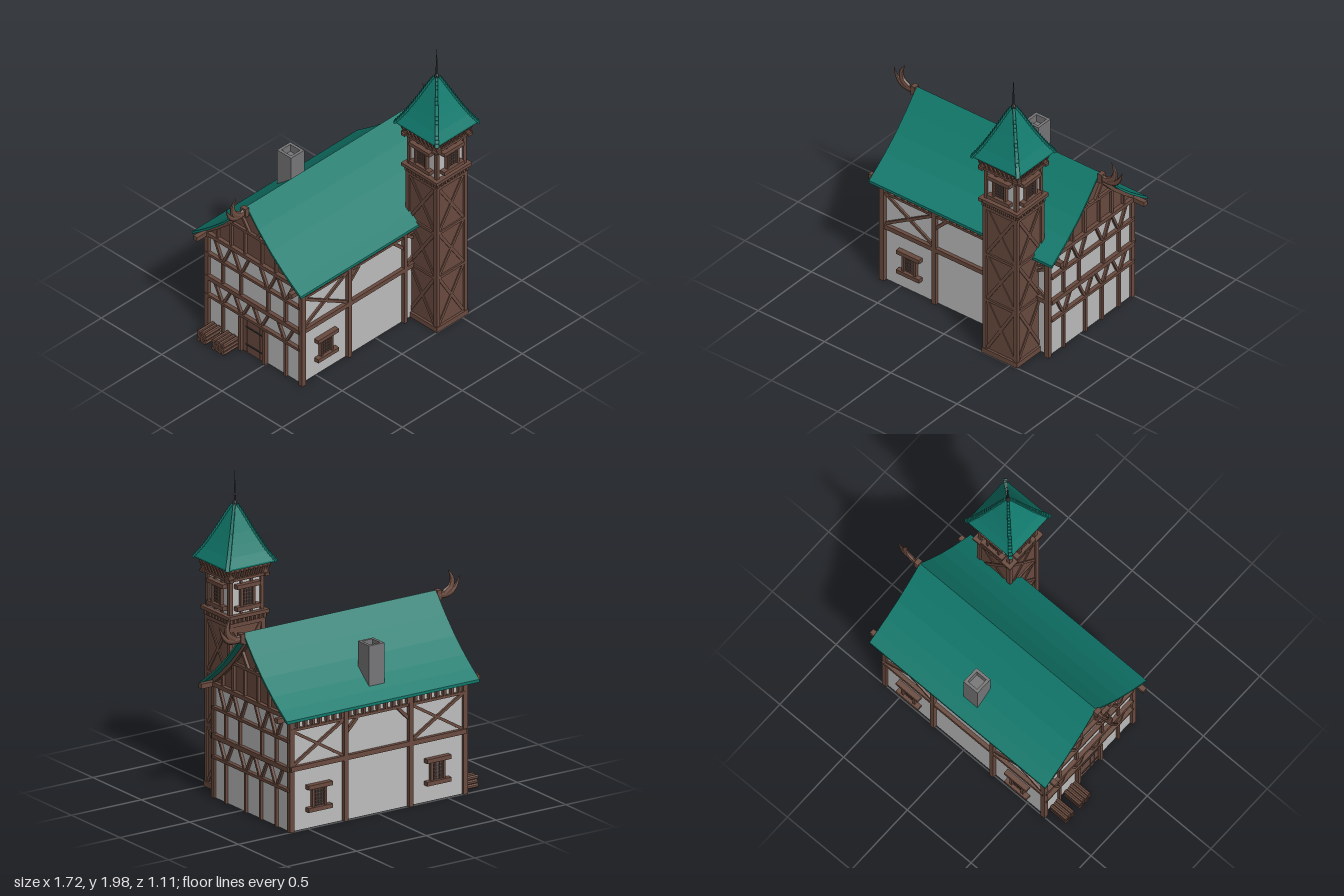
import * as THREE from 'three';

const mat = (name, color, double) => {
  const m = new THREE.MeshStandardMaterial({ color, flatShading: true });
  m.name = name;
  if (double) m.side = THREE.DoubleSide;
  return m;
};

export function createModel() {
  const plaster = mat('plaster', 0xbebebe, true);
  const wood = mat('wood', 0x6a4b3f, true);
  const teal = mat('teal roof', 0x117a6d, true);
  const stone = mat('chimney stone', 0x777779, true);
  const iron = mat('dark iron', 0x38383a);

  const model = new THREE.Group();
  const CZ = -0.105; // ridge line of the house

  const group = (parent, name, x = 0, y = 0, z = 0, ry = 0) => {
    const g = new THREE.Group();
    g.name = name;
    g.position.set(x, y, z);
    g.rotation.y = ry;
    parent.add(g);
    return g;
  };
  const add = (parent, name, geo, m, x = 0, y = 0, z = 0) => {
    const mesh = new THREE.Mesh(geo, m);
    mesh.name = name;
    mesh.position.set(x, y, z);
    parent.add(mesh);
    return mesh;
  };
  const box = (p, name, w, h, d, m, x, y, z) => add(p, name, new THREE.BoxGeometry(w, h, d), m, x, y, z);
  // timber lying on a wall face, from (x1,y1) to (x2,y2)
  const strip = (p, name, x1, y1, x2, y2, w = 0.02, d = 0.02, z = 0.008) => {
    const s = box(p, name, Math.hypot(x2 - x1, y2 - y1), w, d, wood, (x1 + x2) / 2, (y1 + y2) / 2, z);
    s.rotation.z = Math.atan2(y2 - y1, x2 - x1);
    return s;
  };
  const cross = (p, x1, y1, x2, y2, w, d, z) => {
    strip(p, 'crossBrace', x1, y1, x2, y2, w, d, z);
    strip(p, 'crossBrace', x1, y2, x2, y1, w, d * 0.9, z);
  };
  // four upright walls open above and below
  const walls = (p, name, hx, hz, y0, y1, m, x, z) => {
    const g = new THREE.CylinderGeometry(Math.SQRT2, Math.SQRT2, y1 - y0, 4, 1, true, Math.PI / 4);
    g.scale(hx, 1, hz);
    return add(p, name, g, m, x, (y0 + y1) / 2, z);
  };
  // latticed window with wide head and sill boards
  const windowAt = (p, x, y, s = 1) => {
    const w = group(p, 'window', x, y, 0.002);
    w.scale.setScalar(s);
    box(w, 'pane', 0.085, 0.13, 0.008, iron, 0, 0, 0.004);
    for (const k of [-1, 1]) {
      box(w, 'sideFrame', 0.016, 0.13, 0.024, wood, k * 0.044, 0, 0.01);
      box(w, 'board', 0.172, 0.026, 0.036, wood, 0, k * 0.07, 0.014);
    }
    for (const k of [-1, 0, 1]) box(w, 'bar', 0.004, 0.13, 0.004, wood, k * 0.019, 0, 0.01);
    for (let i = -2; i <= 2; i++) box(w, 'bar', 0.08, 0.004, 0.004, wood, 0, i * 0.022, 0.01);
  };

  // ---- house walls
  const house = group(model, 'house');
  walls(house, 'houseWalls', 0.62, 0.385, 0, 0.72, plaster, 0, CZ);
  for (const x of [-0.625, 0.618]) for (const z of [0.293, -0.49])
    box(house, 'cornerPost', 0.032, 0.7, 0.032, wood, x, 0.35, z);

  // long walls: front and back
  for (const [name, z, ry] of [['frontWall', 0.28, 0], ['backWall', -0.49, Math.PI]]) {
    const f = group(house, name, 0, 0, z, ry);
    for (const x of [-0.235, 0.23]) strip(f, 'post', x, 0, x, 0.7, 0.028, 0.04, 0.005);
    strip(f, 'middleRail', -0.63, 0.393, 0.63, 0.393, 0.03, 0.036, 0.006);
    strip(f, 'upperRail', -0.63, 0.633, 0.63, 0.633, 0.016);
    strip(f, 'topRail', -0.63, 0.705, 0.63, 0.705, 0.02, 0.034);
    cross(f, -0.61, 0.41, -0.25, 0.625, 0.018, 0.016, 0.006);
    cross(f, 0.245, 0.41, 0.605, 0.625, 0.018, 0.016, 0.006);
    strip(f, 'cornerBrace', -0.225, 0.55, -0.15, 0.625);
    strip(f, 'cornerBrace', 0.22, 0.55, 0.145, 0.625);
    for (let i = 0; i < 23; i++) { // bracket row under the eave
      const x = -0.577 + i * 0.0525;
      box(f, 'bracket', 0.018, 0.05, 0.028, wood, x, 0.672, 0.012);
      box(f, 'bracketFoot', 0.01, 0.02, 0.02, wood, x, 0.65, 0.01);
    }
    windowAt(f, -0.425, 0.19);
    if (ry) windowAt(f, 0.425, 0.19);
  }

  // ---- roof: gently hollow slopes; profile is distance from the ridge, height
  const slope = [[0, 1.145], [0.1, 1.025], [0.2, 0.917], [0.3, 0.828], [0.38, 0.766], [0.45, 0.715]];
  const outline = drop => [...slope.slice(1).reverse().map(([d, y]) => [-d, y - drop]),
    ...slope.map(([d, y]) => [d, y - drop])].map(p => new THREE.Vector2(...p));
  const roofShape = new THREE.Shape([...outline(0), ...outline(0.018).reverse()]);
  const roofGeo = new THREE.ExtrudeGeometry(roofShape, { depth: 1.38, bevelEnabled: false });
  roofGeo.translate(0, 0, -0.69).rotateY(Math.PI / 2);
  add(model, 'mainRoof', roofGeo, teal, 0, 0, CZ);
  for (const z of [0.29, -0.495]) box(house, 'purlin', 1.45, 0.03, 0.032, wood, 0, 0.712, z);
  box(house, 'ridgeBeam', 1.4, 0.03, 0.03, wood, 0, 1.09, CZ);

  // ---- gable walls
  const gableShape = new THREE.Shape([new THREE.Vector2(-0.4, 0.71),
    ...outline(0.016).filter(p => Math.abs(p.x) < 0.4), new THREE.Vector2(0.4, 0.71)]);
  for (const side of [1, -1]) {
    const g = group(house, side > 0 ? 'rightGable' : 'leftGable', side * 0.62, 0, CZ, side * Math.PI / 2);
    add(g, 'gableBoards', new THREE.ShapeGeometry(gableShape), wood);
    for (const [y, w] of [[0.39, 0.03], [0.567, 0.018], [0.26, 0.018], [0.712, 0.026]])
      strip(g, 'rail', -0.39, y, 0.39, y, w, 0.034);
    // studs with forked braces above them; positions are mirrored on the far gable
    for (const [y0, y1, y2, list] of [[0.4, 0.567, 0.705, [-0.265, -0.12, 0.105, 0.255]],
      [0, 0.26, 0.385, [-0.265, -0.06, 0.095, 0.255]]])
      for (const s of list) {
        const u = s * side;
        if (side > 0 || y0 > 0 || Math.abs(u) > 0.1) strip(g, 'stud', u, y0, u, y1, 0.018);
        for (const k of [-1, 1]) strip(g, 'fork', u + k * 0.008, y1, u + k * 0.07, y2, 0.016, 0.018);
      }
    strip(g, 'collar', -0.2, 0.895, 0.2, 0.895, 0.018);
    for (const k of [-1, 1]) {
      for (const [u, h] of [[0.07, 0.89], [0.185, 0.89], [0.295, 0.8]]) strip(g, 'gableStud', k * u, 0.72, k * u, h, 0.016);
      strip(g, 'gableFork', k * 0.035, 0.9, k * 0.1, 1.0, 0.016);
      slope.slice(1, 5).forEach(([d, y], i) =>
        strip(g, 'rafter', k * slope[i][0], slope[i][1] - 0.032, k * d, y - 0.032, 0.024, 0.03));
    }
    if (side < 0) { // plank door
      const d = group(g, 'door', 0, 0, 0.004);
      for (let i = -2; i <= 2; i++) box(d, 'plank', 0.033, 0.24, 0.014, wood, i * 0.035, 0.12, 0);
      for (const k of [-1, 1]) strip(d, 'doorPost', k * 0.098, 0, k * 0.098, 0.25, 0.02, 0.036);
      for (const y of [0.06, 0.19]) box(d, 'hinge', 0.14, 0.008, 0.006, iron, 0.01, y, 0.009);
    }
  }

  // ---- curved horns at the ridge ends, tapered tubes
  const horn = (p, name, pts, r, end) => {
    const curve = new THREE.CatmullRomCurve3(pts.map(([x, y]) => new THREE.Vector3(x, y, 0)));
    const n = 14, sides = 8;
    const geo = new THREE.TubeGeometry(curve, n, r, sides);
    const pos = geo.attributes.position, v = new THREE.Vector3();
    for (let i = 0; i < pos.count; i++) {
      const t = Math.floor(i / (sides + 1)) / n, c = curve.getPointAt(t);
      v.fromBufferAttribute(pos, i).sub(c).multiplyScalar(1 + (end - 1) * t * t);
      pos.setXYZ(i, c.x + v.x, c.y + v.y, v.z * 0.6);
    }
    geo.computeVertexNormals();
    add(p, name, geo, wood);
  };
  for (const side of [0, 1]) {
    const h = group(model, side ? 'leftRidgeHorns' : 'rightRidgeHorns', 0, 0, CZ, side * Math.PI);
    horn(h, 'lowerHorn', [[0.68, 1.12], [0.74, 1.108], [0.8, 1.115], [0.84, 1.155], [0.86, 1.21]], 0.026, 0.04);
    horn(h, 'upperHorn', [[0.755, 1.115], [0.795, 1.145], [0.806, 1.195], [0.78, 1.255]], 0.025, 0.04);
    box(h, 'collar', 0.03, 0.06, 0.04, wood, 0.705, 1.115, 0);
  }

  // ---- chimney, hollow at the top
  const flue = new THREE.Shape([[-0.055, -0.058], [0.055, -0.058], [0.055, 0.058], [-0.055, 0.058]].map(p => new THREE.Vector2(...p)));
  flue.holes.push(new THREE.Path([[-0.037, -0.04], [-0.037, 0.04], [0.037, 0.04], [0.037, -0.04]].map(p => new THREE.Vector2(...p))));
  const flueGeo = new THREE.ExtrudeGeometry(flue, { depth: 0.295, bevelEnabled: false }).rotateX(-Math.PI / 2);
  add(model, 'chimney', flueGeo, stone, -0.02, 0.74, -0.403);
  box(model, 'chimneyFloor', 0.08, 0.01, 0.085, stone, -0.02, 0.98, -0.403);

  // ---- log piles by the left wall
  for (const [z0, count] of [[-0.437, 3], [-0.314, 4]]) for (let row = 0; row < 3; row++)
    for (let i = 0; i < count; i++) {
      const log = new THREE.CylinderGeometry(0.0135, 0.0135, 0.125 - ((i + row) % 2) * 0.008, 7).rotateZ(Math.PI / 2);
      add(model, 'log', log, wood, -0.695, 0.0135 + row * 0.0265, z0 + i * 0.0255);
    }

  // ---- tower
  const tower = group(model, 'tower', 0.42, 0, 0.37);
  walls(tower, 'shaft', 0.118, 0.118, 0, 1.08, wood, 0, 0);
  walls(tower, 'lookoutWalls', 0.113, 0.113, 1.1, 1.36, plaster, 0, 0);
  box(tower, 'lookoutFloor', 0.26, 0.025, 0.26, wood, 0, 1.108, 0);
  for (const x of [-1, 1]) for (const z of [-1, 1]) {
    box(tower, 'towerPost', 0.026, 1.08, 0.026, wood, x * 0.116, 0.54, z * 0.116);
    box(tower, 'lookoutPost', 0.024, 0.25, 0.024, wood, x * 0.112, 1.23, z * 0.112);
  }
  for (let s = 0; s < 4; s++) {
    const f = group(tower, 'towerSide', 0, 0, 0, s * Math.PI / 2);
    const rail = (name, w, h, d, y, z) => box(f, name, w, h, d, wood, 0, y, z);
    rail('baseRail', 0.266, 0.035, 0.026, 0.0175, 0.12);
    for (const y of [0.39, 0.72]) rail('shaftRail', 0.252, 0.018, 0.02, y, 0.118);
    rail('shaftTopRail', 0.256, 0.025, 0.024, 1.06, 0.12);
    for (const [a, b] of [[0.04, 0.38], [0.4, 0.71], [0.73, 1.045]]) cross(f, -0.102, a, 0.102, b, 0.02, 0.01, 0.119);
    rail('ledge', 0.296, 0.022, 0.03, 1.112, 0.132);
    rail('headRail', 0.31, 0.016, 0.03, 1.343, 0.127);
    rail('eaveRail', 0.3, 0.022, 0.03, 1.405, 0.135);
    for (let i = 0; i < 9; i++) { // brackets below ledge and eave
      const x = (i - 4) * 0.03;
      box(f, 'ledgeBracket', 0.016, 0.03, 0.024, wood, x, 1.088, 0.128);
      const c = box(f, 'eaveBracket', 0.016, 0.062, 0.03, wood, x * 1.12, 1.378, 0.132);
      c.rotation.x = 0.4;
    }
    for (const k of [-1, 1]) strip(f, 'lookoutStud', k * 0.036, 1.12, k * 0.036, 1.34, 0.016, 0.014, 0.115);
    const w = group(f, 'windowMount', 0, 0, 0.115);
    windowAt(w, 0, 1.228, 0.98);
  }
  walls(tower, 'eaveBand', 0.118, 0.118, 1.34, 1.41, wood, 0, 0);

  // hollow pyramid roof; profile is half width, height
  const spireProfile = [[0.172, 1.418], [0.172, 1.428], [0.138, 1.485], [0.108, 1.545], [0.078, 1.61], [0.05, 1.675], [0.026, 1.73], [0.006, 1.77]];
  const roofPts = [[0, 1.418], ...spireProfile, [0, 1.772]].map(([r, y]) => new THREE.Vector2(r * Math.SQRT2, y));
  add(tower, 'towerRoof', new THREE.LatheGeometry(roofPts, 4, Math.PI / 4), teal);
  // overlapping tiles down each hip
  const hip = new THREE.CatmullRomCurve3(spireProfile.slice(1).map(([r, y]) => new THREE.Vector3(0, y, r * Math.SQRT2)));
  for (let s = 0; s < 4; s++) {
    const g = group(tower, 'hipTiles', 0, 0, 0, Math.PI / 4 + s * Math.PI / 2);
    for (let i = 0; i < 18; i++) {
      const t = i / 18, p = hip.getPointAt(t), q = hip.getTangentAt(t);
      const tile = box(g, 'hipTile', 0.024 - 0.01 * t, 0.012, 0.025, teal, p.x, p.y + 0.002, p.z);
      tile.rotation.x = Math.atan2(q.y, -q.z) + 0.25;
    }
  }
  // finial
  const finial = [[0, 1.75], [0.016, 1.755], [0.014, 1.775], [0.006, 1.785], [0.006, 1.815], [0.009, 1.82], [0.005, 1.83],
    [0.004, 1.89], [0.006, 1.895], [0.003, 1.9], [0, 1.98]].map(p => new THREE.Vector2(...p));
  add(tower, 'finial', new THREE.LatheGeometry(finial, 8), iron);

  return model;
}
